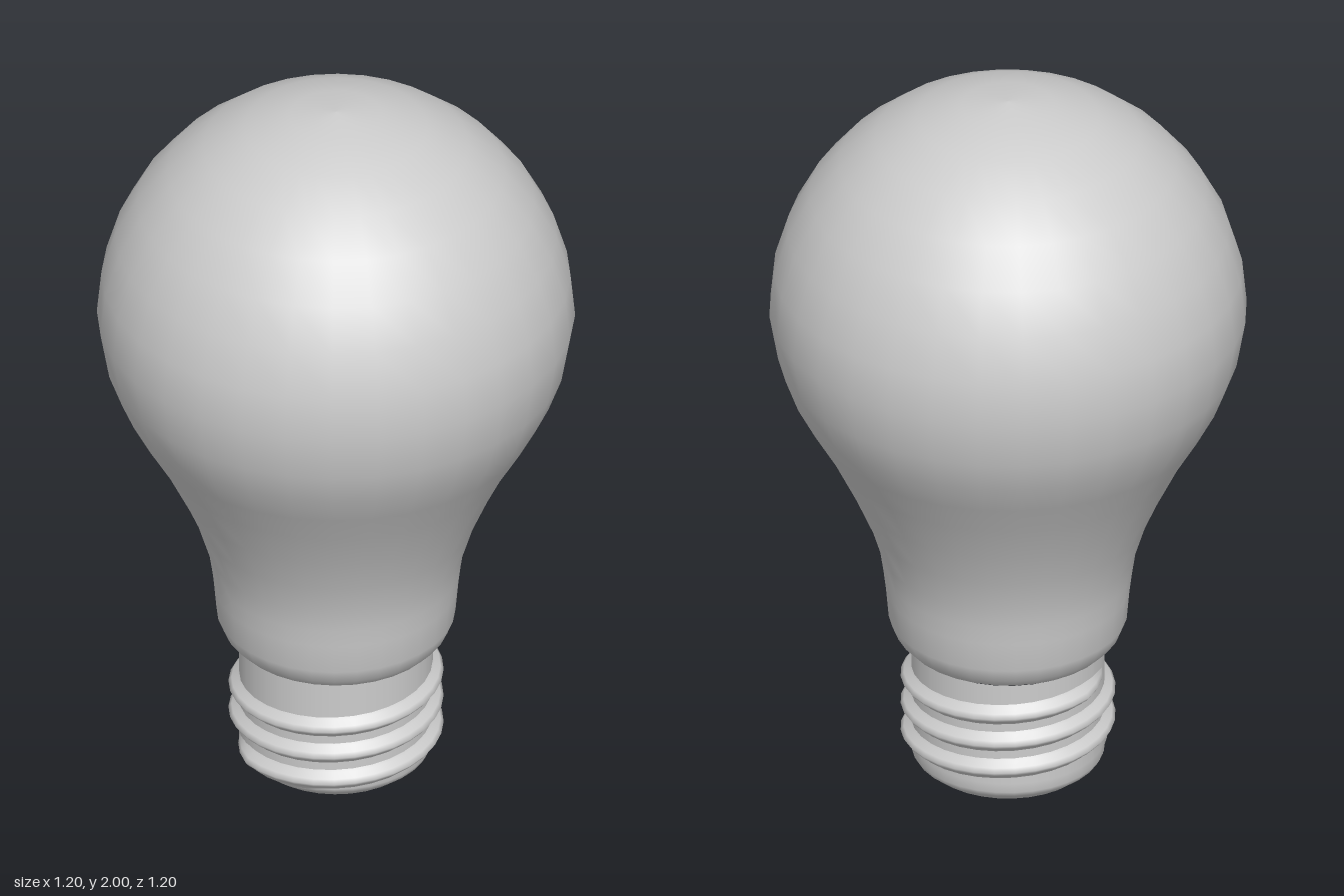
import * as THREE from 'three';

const SIDES = 32;

export function createModel() {
  const bulb = new THREE.Group();
  bulb.name = 'lightBulb';
  const grey = new THREE.MeshStandardMaterial({ color: 0xcccccc });
  const black = new THREE.MeshStandardMaterial({ color: 0x0a0a0a });

  const add = (name, geometry, material) => {
    const mesh = new THREE.Mesh(geometry, material);
    mesh.name = name;
    bulb.add(mesh);
  };
  // Profiles run from bottom to top as [radius, height]
  const turned = (profile) =>
    new THREE.LatheGeometry(profile.map(([r, y]) => new THREE.Vector2(r, y)), SIDES);

  // Glass: rounded neck, flowing into a spherical crown
  const glass = [
    [0.2, 0.437], [0.232, 0.44], [0.262, 0.457], [0.285, 0.482], [0.3, 0.52], [0.307, 0.6],
    [0.313, 0.65], [0.322, 0.71], [0.35, 0.8], [0.393, 0.9], [0.447, 1.01], [0.5, 1.1],
    [0.545, 1.185], [0.578, 1.275],
  ];
  for (let i = 0; i <= 8; i++) {
    const a = (i / 8) * Math.PI / 2;
    glass.push([i === 8 ? 0 : 0.6 * Math.cos(a), 1.4 + 0.6 * Math.sin(a)]);
  }
  add('glass', turned(glass), grey);

  // Metal screw base with its rounded lower end
  add('screwBase', turned([
    [0.1, 0.047], [0.116, 0.051], [0.16, 0.07], [0.205, 0.096], [0.235, 0.12],
    [0.243, 0.135], [0.243, 0.16], [0.243, 0.4], [0.243, 0.445],
  ]), grey);

  add('screwThread', threadGeometry(), grey);

  // Insulator cone and end contact
  add('insulator', turned([[0, 0.018], [0.03, 0.02], [0.07, 0.034], [0.112, 0.046], [0.112, 0.052]]), black);
  const contact = new THREE.CylinderGeometry(0.027, 0.024, 0.022, 16);
  contact.translate(0, 0.011, 0);
  add('contact', contact, grey);

  return bulb;
}

// Helical ridge: a rounded cross-section swept for three turns, fading at both ends
function threadGeometry() {
  const section = [
    [-0.004, -0.034], [0.004, -0.022], [0.019, -0.011], [0.027, 0],
    [0.019, 0.011], [0.004, 0.022], [-0.004, 0.034],
  ];
  const turns = 3, pitch = 0.078, n = section.length;
  const steps = turns * SIDES;
  const positions = [], index = [];
  for (let i = 0; i <= steps; i++) {
    const phi = -0.75 * Math.PI + (i / SIDES) * Math.PI * 2;
    const y = 0.175 + pitch * phi / (Math.PI * 2);
    const fade = Math.min(1, i / 3, (steps - i) / 3);
    for (const [out, up] of section) {
      const r = 0.243 + (out + 0.004) * fade - 0.004;
      positions.push(r * Math.sin(phi), y + up, r * Math.cos(phi));
    }
    if (i === steps) continue;
    for (let j = 0; j < n - 1; j++) {
      const a = i * n + j, b = a + n;
      index.push(a, b, a + 1, b + 1, a + 1, b);
    }
  }
  const geometry = new THREE.BufferGeometry();
  geometry.setAttribute('position', new THREE.Float32BufferAttribute(positions, 3));
  geometry.setIndex(index);
  geometry.computeVertexNormals();
  return geometry;
}
